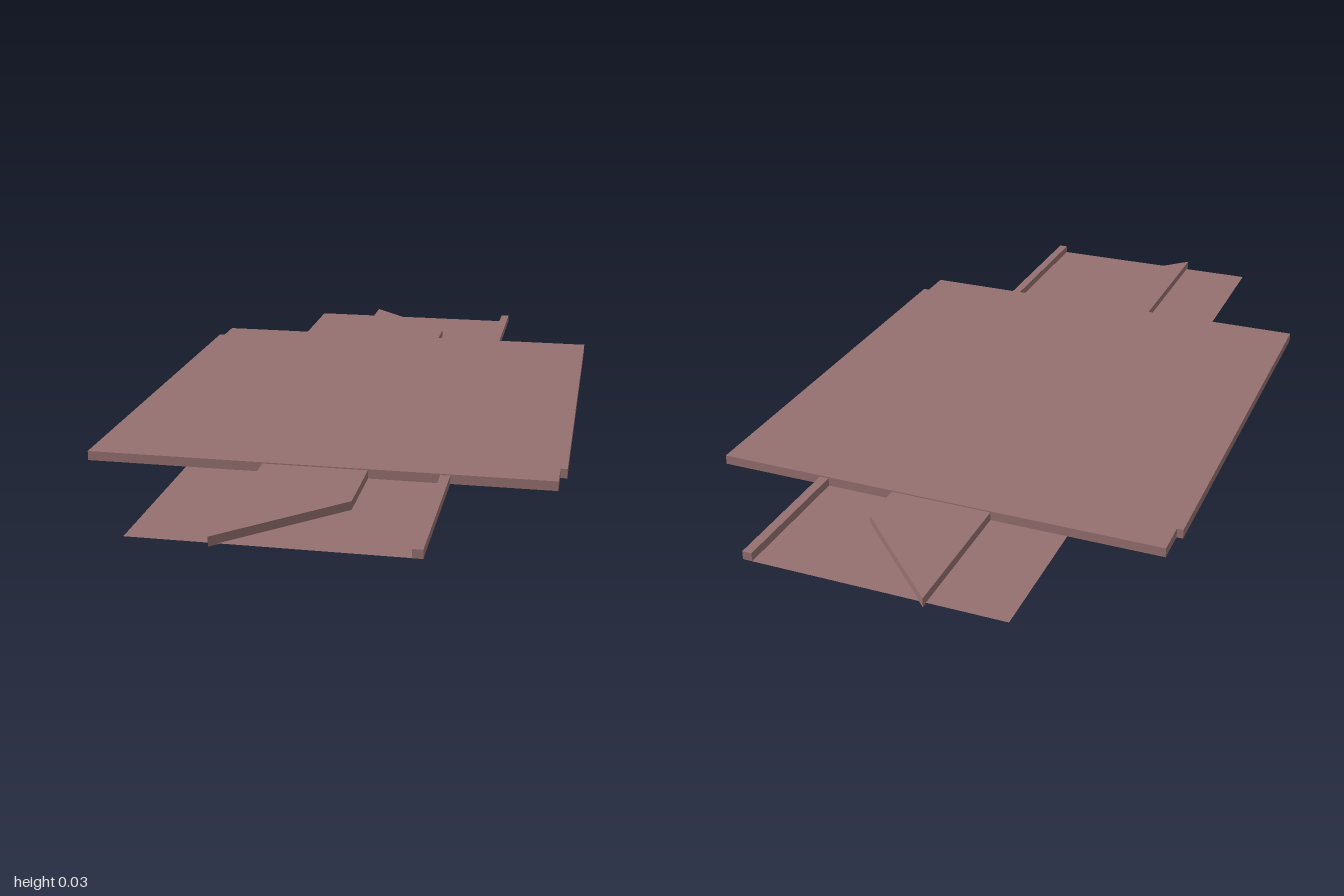
import * as THREE from 'three';

export function createModel() {
  const group = new THREE.Group();
  const material = new THREE.MeshStandardMaterial({ color: 0x957070, flatShading: true, side: THREE.DoubleSide });
  const BASE = 0.002;

  function add(name, geometry) {
    const mesh = new THREE.Mesh(geometry, material);
    mesh.name = name;
    group.add(mesh);
    return mesh;
  }

  // Box given by its limits on each axis
  function slab(name, x0, x1, y0, y1, z0, z1) {
    add(name, new THREE.BoxGeometry(x1 - x0, y1 - y0, z1 - z0))
      .position.set((x0 + x1) / 2, (y0 + y1) / 2, (z0 + z1) / 2);
  }

  // Two broad slabs, slightly offset, leaving notches at opposite corners
  slab('leftSlab', -0.55, 0.563, BASE, 0.025, -0.645, 0.47);
  slab('rightSlab', -0.565, 0.547, BASE, 0.025, -0.56, 0.555);

  // Long thin sheet below, with a raised lip along its left edge
  const sheet = add('baseSheet', new THREE.PlaneGeometry(0.625, 1.965).rotateX(-Math.PI / 2));
  sheet.position.set(-0.0095, BASE, -0.003);
  slab('sheetLip', 0.28, 0.303, BASE, 0.022, -0.985, 0.98);

  // Central strip with slanted, pointed ends
  const outline = new THREE.Shape([
    [-0.136, -0.995], [0.113, -0.75], [0.113, 0.755], [-0.136, 1.0],
  ].map(([x, y]) => new THREE.Vector2(x, y)));
  const strip = new THREE.ExtrudeGeometry(outline, { depth: 0.022, bevelEnabled: false });
  strip.rotateX(-Math.PI / 2);
  add('centreStrip', strip);

  return group;
}
